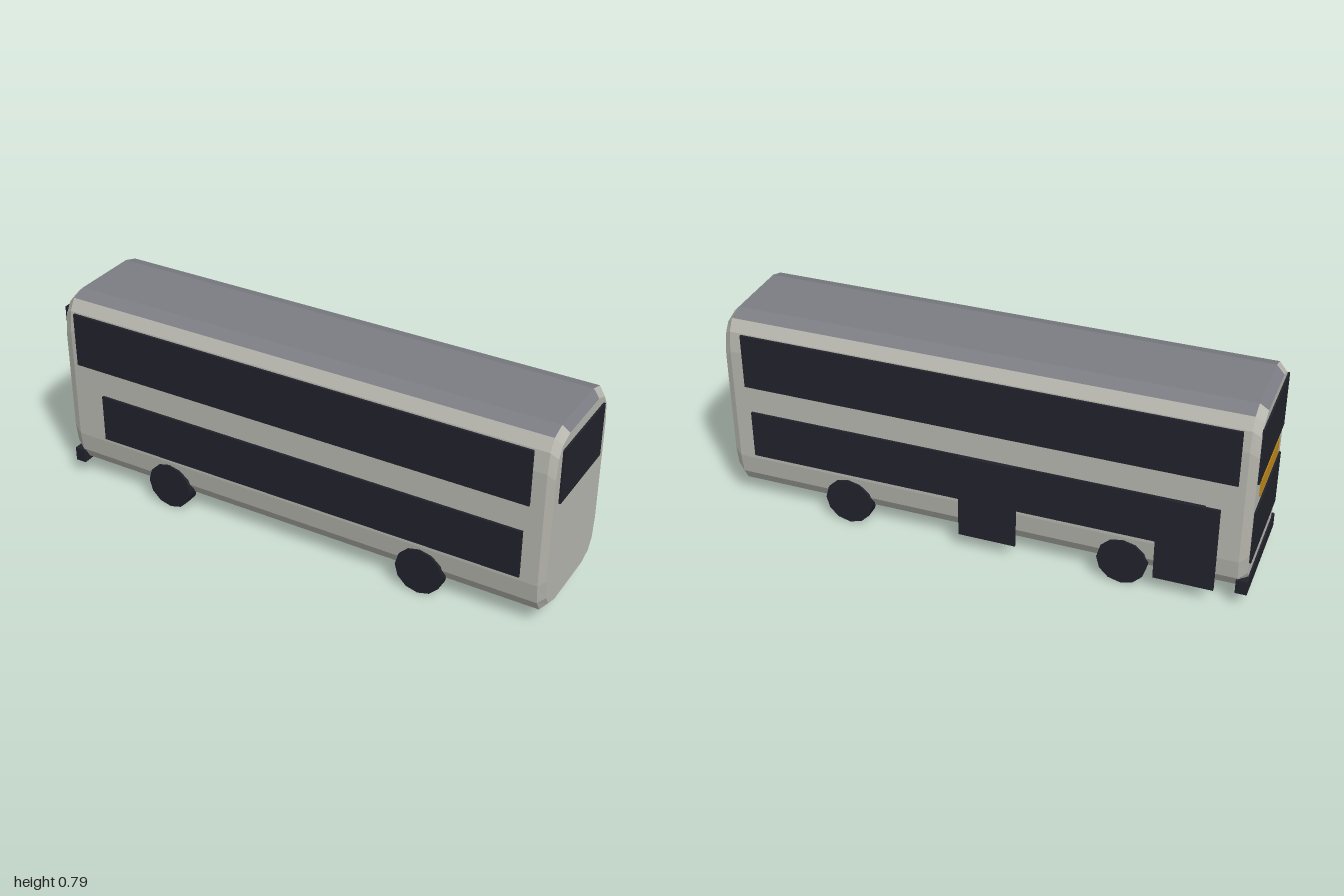
import * as THREE from 'three';

const paint = (name, color) => {
  const m = new THREE.MeshStandardMaterial({ color });
  m.name = name;
  return m;
};

const MID_Z = 0.003, MID_Y = 0.424;

// Rounded rectangle ring, counter-clockwise seen from +x, from one corner's points (z, y)
function ring(x, corner) {
  const back = [...corner].reverse();
  return [
    ...corner.map(([z, y]) => [z, y]),
    ...back.map(([z, y]) => [z, -y]),
    ...corner.map(([z, y]) => [-z, -y]),
    ...back.map(([z, y]) => [-z, y]),
  ].map(([z, y]) => [x, MID_Y + y, MID_Z + z]);
}

function facets(name, positions, material) {
  const g = new THREE.BufferGeometry();
  g.setAttribute('position', new THREE.Float32BufferAttribute(positions, 3));
  g.computeVertexNormals();
  const mesh = new THREE.Mesh(g, material);
  mesh.name = name;
  return mesh;
}

export function createModel() {
  const bus = new THREE.Group();
  bus.name = 'doubleDeckerBus';
  const bodyPaint = paint('bodyGrey', 0xb8b8b0);
  const roofPaint = paint('roofGrey', 0x7c7c84);
  const dark = paint('darkGlass', 0x22222c);
  const amber = paint('signAmber', 0xc08a1a);

  // Shell: four rings along x, with bevelled ends
  const outer = [[0.134, 0.366], [0.192, 0.348], [0.217, 0.304], [0.227, 0.226]];
  const inner = [[0.123, 0.339], [0.178, 0.32], [0.204, 0.28], [0.215, 0.203]];
  const rings = [ring(-0.993, inner), ring(-0.962, outer), ring(0.966, outer), ring(0.992, inner)];
  const body = [], roof = [];
  for (let i = 0; i < 3; i++) {
    const a = rings[i], b = rings[i + 1], n = a.length;
    for (let j = 0; j < n; j++) {
      const k = (j + 1) % n;
      // The roof covers the top and its slopes, and the top bevel at each end
      const isRoof = j === 15 || (i === 1 && (j === 0 || j === 14));
      (isRoof ? roof : body).push(...[a[j], a[k], b[k], a[j], b[k], b[j]].flat());
    }
  }
  for (let j = 1; j < 15; j++) {
    const f = rings[0], r = rings[3];
    body.push(...f[0], ...f[j + 1], ...f[j], ...r[0], ...r[j], ...r[j + 1]);
  }
  bus.add(facets('body', body, bodyPaint), facets('roof', roof, roofPaint));

  // Box given by its limits on each axis
  const box = (name, material, [x0, x1], [y0, y1], [z0, z1]) => {
    const mesh = new THREE.Mesh(new THREE.BoxGeometry(x1 - x0, y1 - y0, z1 - z0), material);
    mesh.position.set((x0 + x1) / 2, (y0 + y1) / 2, (z0 + z1) / 2);
    mesh.name = name;
    bus.add(mesh);
  };

  // Side windows on both decks
  for (const [side, z] of [['left', [0.2315, 0.2405]], ['right', [-0.2335, -0.2245]]]) {
    box(side + 'UpperWindow', dark, [-0.936, 0.916], [0.515, 0.73], z);
    box(side + 'LowerWindow', dark, [-0.832, 0.9], [0.217, 0.406], z);
  }

  // Two doors on one side
  box('frontDoor', dark, [-0.885, -0.665], [0.064, 0.406], [-0.24, -0.23]);
  box('middleDoor', dark, [-0.147, 0.073], [0.064, 0.406], [-0.24, -0.23]);

  // End windows, destination sign and bumper
  box('rearWindow', dark, [0.991, 1], [0.515, 0.723], [-0.169, 0.176]);
  box('upperWindscreen', dark, [-1, -0.992], [0.515, 0.73], [-0.198, 0.204]);
  box('lowerWindscreen', dark, [-1, -0.992], [0.185, 0.4], [-0.198, 0.204]);
  box('destinationSign', amber, [-0.999, -0.992], [0.428, 0.498], [-0.14, 0.146]);
  box('bumper', dark, [-1, -0.957], [0.059, 0.115], [-0.218, 0.224]);

  // Wheels
  const wheel = new THREE.CylinderGeometry(0.093, 0.093, 0.053, 12).rotateX(Math.PI / 2);
  for (const [end, x] of [['front', -0.545], ['rear', 0.52]]) {
    for (const [side, z] of [['Left', 0.208], ['Right', -0.2015]]) {
      const mesh = new THREE.Mesh(wheel, dark);
      mesh.position.set(x, 0.093, z);
      mesh.name = end + side + 'Wheel';
      bus.add(mesh);
    }
  }
  return bus;
}
